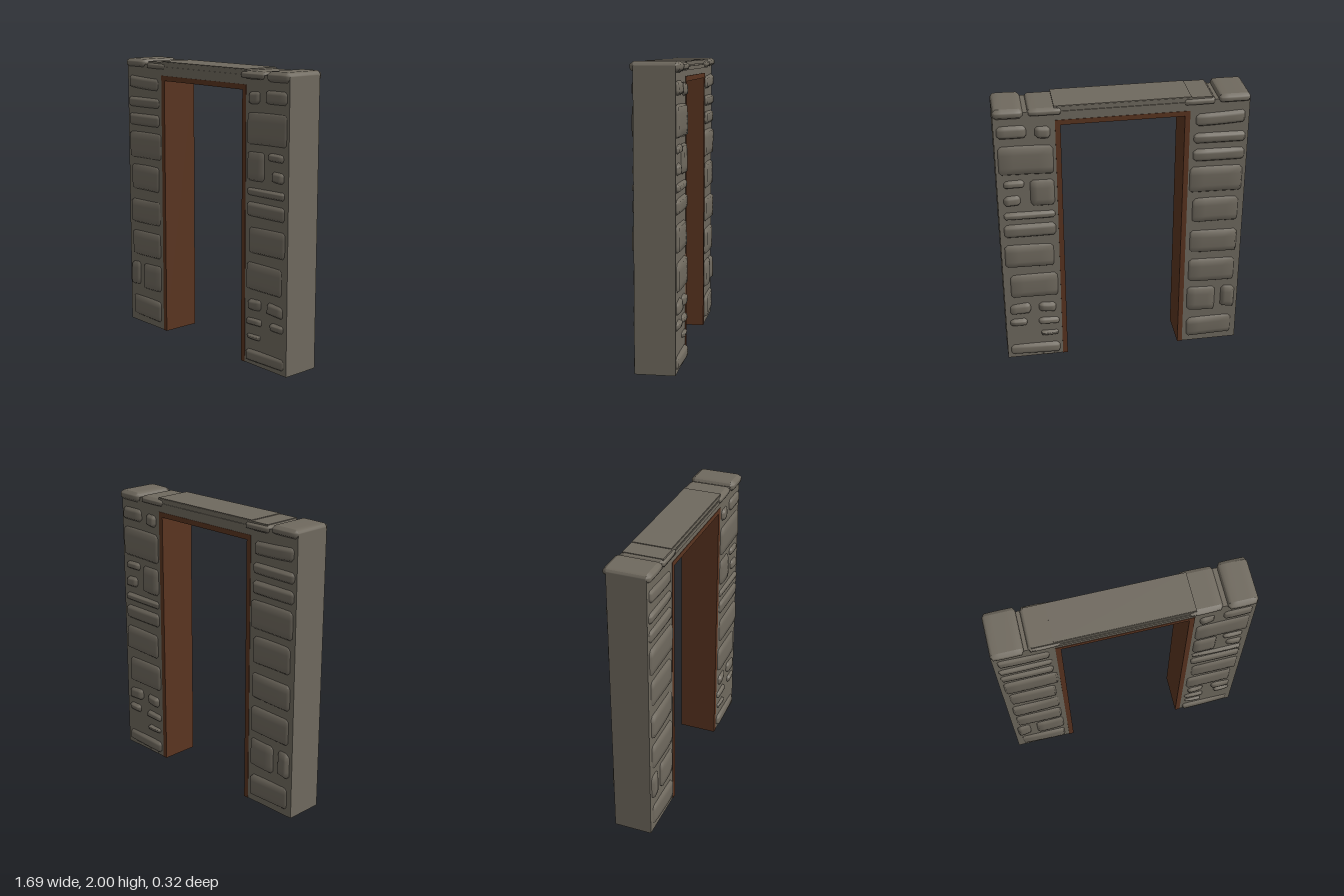
import * as THREE from 'three';

const stoneMat = new THREE.MeshStandardMaterial({ color: 0x6f695e });
stoneMat.name = 'grey stone';
const woodMat = new THREE.MeshStandardMaterial({ color: 0x5a3420 });
woodMat.name = 'brown wood';

// Small seeded generator, returns -1..1
let seed = 7;
const rand = () => {
  seed = (seed * 16807) % 2147483647;
  return (seed / 2147483647) * 2 - 1;
};

function box(name, mat, x0, x1, y0, y1, halfDepth) {
  const mesh = new THREE.Mesh(new THREE.BoxGeometry(x1 - x0, y1 - y0, halfDepth * 2), mat);
  mesh.position.set((x0 + x1) / 2, (y0 + y1) / 2, 0);
  mesh.name = name;
  return mesh;
}

// Hewn stone running through the wall: pillowed front and back, bevelled rim, uneven outline
function stone(name, [x0, x1, y0, y1], face = 0.15, wobble = 1) {
  const w = x1 - x0, h = y1 - y0, n = 6;
  const geo = new THREE.BoxGeometry(2, 2, 2, n, n, 1);
  const p = geo.attributes.position;
  const bevel = Math.min(0.018, h * 0.25);
  const skew = rand() * 0.008 * wobble, bow = rand() * 0.006 * wobble;
  const tiltX = rand() * 0.007 * wobble, tiltY = rand() * 0.005 * wobble;
  // the outermost row of the grid becomes a narrow bevel
  const place = (t, size) => {
    const half = size / 2;
    return Math.abs(t) > 0.99 ? Math.sign(t) * half : (t / (1 - 2 / n)) * (half - bevel);
  };
  for (let i = 0; i < p.count; i++) {
    const u = p.getX(i), v = p.getY(i), s = Math.sign(p.getZ(i));
    const rim = Math.max(Math.abs(u), Math.abs(v)) > 0.99;
    const round = 0.014 * Math.min(1, h / 0.1);
    const x = place(u, w) - Math.sign(u) * round * v ** 8 * Math.abs(u);
    const y = place(v, h) - Math.sign(v) * round * u ** 8 * Math.abs(v)
      + (u * skew + (u * u - 0.5) * bow) * Math.min(1, h / 0.1);
    const dome = 0.007 * (1 - u * u) * (1 - v * v);
    const z = rim ? face - 0.022 : face + dome + u * tiltX + v * tiltY;
    p.setXYZ(i, x, y, s * z);
  }
  geo.computeVertexNormals();
  const mesh = new THREE.Mesh(geo, stoneMat);
  mesh.position.set((x0 + x1) / 2, (y0 + y1) / 2, -0.002);
  mesh.name = name;
  return mesh;
}

// Stones as [x0, x1, y0, y1]
const rightSideStones = [
  [-0.82, -0.48, 1.78, 1.88], [-0.83, -0.47, 1.645, 1.73], [-0.83, -0.47, 1.51, 1.61],
  [-0.825, -0.452, 1.27, 1.475], [-0.81, -0.48, 1.03, 1.23], [-0.815, -0.47, 0.78, 0.97],
  [-0.81, -0.47, 0.53, 0.73], [-0.68, -0.465, 0.28, 0.49], [-0.825, -0.715, 0.29, 0.48],
  [-0.81, -0.47, 0.05, 0.22],
];
const leftSideStones = [
  [0.475, 0.585, 1.77, 1.865], [0.63, 0.83, 1.78, 1.88], [0.46, 0.83, 1.51, 1.73],
  [0.46, 0.63, 1.27, 1.475], [0.66, 0.805, 1.415, 1.48], [0.69, 0.81, 1.28, 1.365],
  [0.46, 0.815, 1.17, 1.235], [0.46, 0.82, 1.03, 1.14], [0.48, 0.825, 0.785, 0.975],
  [0.46, 0.8, 0.53, 0.73], [0.48, 0.61, 0.39, 0.48],
];
const leftSideSmallStones = [
  [0.66, 0.815, 0.39, 0.485], [0.46, 0.615, 0.285, 0.345], [0.69, 0.82, 0.285, 0.355],
  [0.47, 0.6, 0.185, 0.23], [0.46, 0.825, 0.03, 0.125],
];

export function createModel() {
  seed = 7;
  const group = new THREE.Group();
  group.name = 'stoneDoorway';

  // Plain wall core: two pillars and a slightly taller lintel
  for (const s of [-1, 1]) {
    const a = s * 0.845, b = s * 0.44;
    group.add(box(s > 0 ? 'leftPillar' : 'rightPillar', stoneMat,
      Math.min(a, b), Math.max(a, b), 0.01, 1.965, 0.133));
  }
  group.add(box('lintel', stoneMat, -0.45, 0.45, 1.89, 1.995, 0.133));

  // Wooden door frame
  for (const s of [-1, 1]) {
    const a = s * 0.445, b = s * 0.41;
    group.add(box(s > 0 ? 'leftDoorPost' : 'rightDoorPost', woodMat,
      Math.min(a, b), Math.max(a, b), 0.01, 1.895, 0.136));
  }
  group.add(box('doorHead', woodMat, -0.41, 0.41, 1.86, 1.895, 0.136));

  // Facing stones, visible on front and back
  const facing = new THREE.Group();
  facing.name = 'facingStones';
  for (const s of [...rightSideStones, ...leftSideStones, ...leftSideSmallStones]) {
    facing.add(stone('facingStone', s, 0.147));
  }
  facing.add(stone('footStone', [0.5, 0.6, 0, 0.04], 0.13, 0));
  group.add(facing);

  // Capping course
  group.add(stone('rightCornerStone', [-0.845, -0.635, 1.94, 2], 0.152, 0.4));
  group.add(stone('leftCornerStone', [0.65, 0.845, 1.925, 1.995], 0.154, 0.4));
  group.add(stone('rightCapStone', [-0.61, -0.4, 1.93, 1.985], 0.144, 0.3));
  group.add(stone('leftCapStone', [0.4, 0.62, 1.93, 1.985], 0.146, 0.3));
  group.add(box('upperLintelBand', stoneMat, -0.59, 0.43, 1.965, 1.99, 0.136));
  group.add(box('lowerLintelBand', stoneMat, -0.58, 0.58, 1.932, 1.958, 0.139));
  return group;
}
